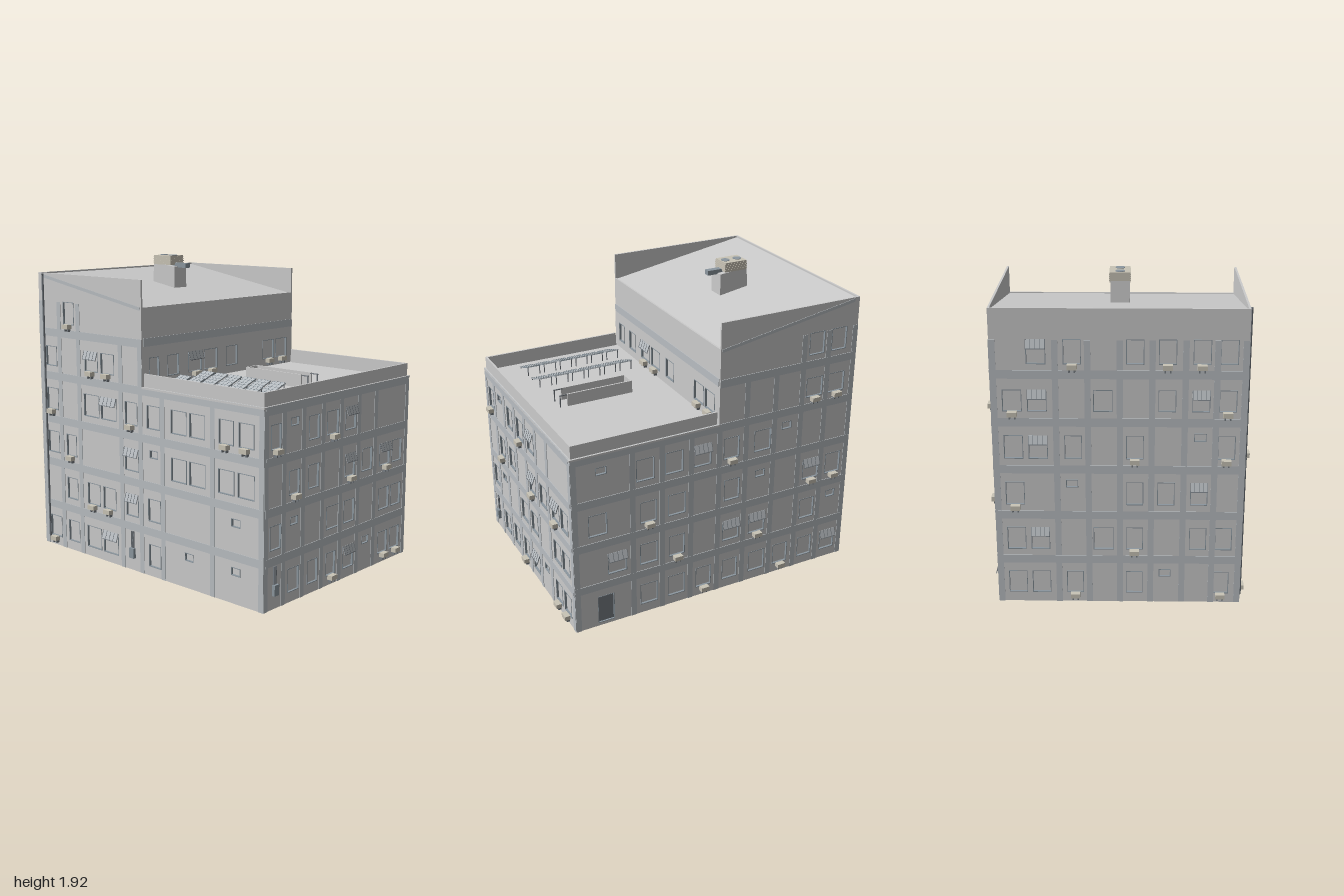
import * as THREE from 'three';

const mat = (color) => new THREE.MeshStandardMaterial({ color, flatShading: true });
const GREY = mat(0xcccccc), BAND = mat(0xb9bec2), FRAME = mat(0x8c979f), BEIGE = mat(0xc9c4b6), DARK = mat(0x777d83);
const T = 0.012; // cladding thickness

function add(parent, name, geo, material, x = 0, y = 0, z = 0) {
  const m = new THREE.Mesh(geo, material);
  m.name = name;
  m.position.set(x, y, z);
  parent.add(m);
  return m;
}
const box = (parent, name, w, h, d, x, y, z, material = GREY) =>
  add(parent, name, new THREE.BoxGeometry(w, h, d), material, x, y, z);

// closed polygon from [x, y] pairs
const poly = (pts, Kind = THREE.Shape) => new Kind(pts.map((p) => new THREE.Vector2(p[0], p[1])));
const rect = (x0, x1, y0, y1) => [[x0, y0], [x1, y0], [x1, y1], [x0, y1]];

// air conditioner on two brackets below a window
function airConditioner(parent, x, y) {
  const g = new THREE.Group();
  g.name = 'airConditioner';
  g.position.set(x, y, T);
  box(g, 'casing', 0.055, 0.028, 0.035, 0, -0.004, 0.018, BEIGE);
  for (const s of [-1, 1]) box(g, 'bracket', 0.008, 0.02, 0.022, s * 0.015, -0.026, 0.011, DARK);
  parent.add(g);
}

// sloping slatted awning over the upper part of a window
function awning(parent, x, top, w) {
  const g = new THREE.Group();
  g.name = 'awning';
  g.position.set(x, top, T);
  g.rotation.x = -0.33;
  box(g, 'awningSheet', w, 0.055, 0.003, 0, -0.0275, 0.002, BAND);
  for (let i = 0; i < 5; i++) box(g, 'awningRib', 0.003, 0.055, 0.004, (i / 4 - 0.5) * (w - 0.003), -0.0275, 0.003, DARK);
  box(g, 'awningRail', w, 0.004, 0.005, 0, -0.055, 0.003, DARK);
  parent.add(g);
}

// wall cladding with window openings; floors hold [centre, width, kind]
// kinds: a = air conditioner, b = awning, v = vent, d = door
function facade(name, outline, floors, pilasters, bands) {
  const g = new THREE.Group();
  g.name = name;
  const shape = poly(outline);
  floors.forEach((row, f) => row.forEach(([u, w, kind = '']) => {
    const vent = kind === 'v', door = kind === 'd';
    const y0 = vent ? f * 0.29 + 0.17 : door ? 0.02 : f === 4 ? 1.22 : f === 5 ? 1.5 : f * 0.29 + 0.06;
    const y1 = vent ? y0 + 0.05 : door ? 0.21 : y0 + (f === 4 ? 0.13 : 0.145);
    const l = u - w / 2, r = u + w / 2, t = 0.004;
    shape.holes.push(poly(rect(l, r, y0, y1), THREE.Path));
    const frame = poly(rect(l, r, y0, y1));
    frame.holes.push(poly(rect(l + t, r - t, y0 + t, y1 - t), THREE.Path));
    add(g, vent ? 'ventFrame' : door ? 'doorFrame' : 'windowFrame',
      new THREE.ExtrudeGeometry(frame, { depth: T + 0.002, bevelEnabled: false }), FRAME);
    if (door) box(g, 'door', w - 0.01, 0.18, 0.004, u, 0.115, 0.003, DARK);
    if (kind.includes('a')) airConditioner(g, u, y0 - 0.006);
    if (kind.includes('b')) awning(g, u, y1, w);
  }));
  add(g, 'wall', new THREE.ExtrudeGeometry(shape, { depth: T, bevelEnabled: false }), GREY);
  for (const [u, y0, y1, w = 0.035] of pilasters) box(g, 'pilaster', w, y1 - y0, 0.004, u, (y0 + y1) / 2, T + 0.001, BAND);
  for (const [y, u0, u1] of bands) box(g, 'floorBand', u1 - u0, 0.05, 0.006, (u0 + u1) / 2, y, T + 0.001, BAND);
  return g;
}

// wall-mounted meter box with conduits
function meterBox(parent, u) {
  box(parent, 'meterBox', 0.04, 0.065, 0.02, u, 0.115, T + 0.01, FRAME);
  for (const s of [-1, 0, 1]) box(parent, 'conduit', 0.005, 0.11, 0.006, u + s * 0.01, 0.2, T + 0.004, DARK);
}

function solarPanel(parent, x, z) {
  const g = new THREE.Group();
  g.name = 'solarPanel';
  g.position.set(x, 1.205, z);
  const top = new THREE.Group();
  top.rotation.x = 0.35;
  box(top, 'panel', 0.092, 0.006, 0.16, 0, 0, 0, BAND);
  for (let i = 0; i < 4; i++) box(top, 'panelLine', 0.002, 0.008, 0.16, -0.045 + i * 0.03, 0, 0, FRAME);
  for (let i = 0; i < 6; i++) box(top, 'panelLine', 0.092, 0.008, 0.002, 0, 0, -0.079 + i * 0.0316, FRAME);
  g.add(top);
  for (const s of [-1, 1]) {
    box(g, 'rearLeg', 0.005, 0.06, 0.005, s * 0.04, -0.005, -0.068, DARK);
    box(g, 'frontLeg', 0.005, 0.015, 0.005, s * 0.04, -0.028, 0.068, DARK);
  }
  parent.add(g);
}

export function createModel() {
  const model = new THREE.Group();
  model.name = 'apartmentBlock';

  // solid core: low wing plus tower with a sloping roof
  const core = new THREE.ExtrudeGeometry(
    poly([[-0.95, 0], [0.948, 0], [0.948, 1.17], [-0.012, 1.17], [-0.012, 1.65], [-0.95, 1.81]]),
    { depth: 1.41, bevelEnabled: false });
  add(model, 'core', core, GREY, 0, 0, -0.705);

  const levels = [0.285, 0.575, 0.865, 1.155];
  const wide = (h, u0, u1) => levels.map((y) => [y, u0, u1]).concat(h ? [h] : []);

  // front
  const front = facade('frontFacade',
    [[-0.962, 0], [0.96, 0], [0.96, 1.175], [0, 1.175], [0, 1.82], [-0.962, 1.82]],
    [[[-0.85, 0.115, 'a'], [-0.665, 0.11], [-0.465, 0.14], [-0.305, 0.14, 'b'], [0.095, 0.105], [0.385, 0.07, 'v'], [0.755, 0.07, 'v']],
      [[-0.67, 0.105], [-0.46, 0.12, 'a'], [-0.31, 0.12, 'a'], [-0.1, 0.11, 'b'], [0.095, 0.11], [0.755, 0.07, 'v']],
      [[-0.85, 0.115], [-0.67, 0.1, 'a'], [-0.1, 0.125, 'b'], [0.095, 0.07, 'v'], [0.305, 0.13], [0.455, 0.13], [0.68, 0.125], [0.83, 0.125]],
      [[-0.85, 0.115, 'a'], [-0.465, 0.145], [-0.305, 0.145, 'b'], [-0.1, 0.11, 'a'], [0.095, 0.115], [0.305, 0.13], [0.455, 0.125], [0.68, 0.115, 'a'], [0.83, 0.115, 'a']],
      [[-0.85, 0.11], [-0.46, 0.125, 'ab'], [-0.31, 0.125, 'a']],
      [[-0.67, 0.105, 'a']]],
    [[-0.94, 0, 1.64], [-0.765, 0, 1.64], [-0.58, 0, 1.64], [-0.19, 0, 1.44], [-0.018, 0, 1.44],
      [0.17, 0, 1.16], [0.575, 0, 1.16], [0.943, 0, 1.16]],
    wide([1.44, -0.962, 0], -0.962, 0.96));
  front.position.z = 0.705;
  meterBox(front, -0.1);
  const pipe = add(front, 'drainpipe', new THREE.CylinderGeometry(0.007, 0.007, 1.79, 8), DARK, -0.91, 0.92, T + 0.008);
  pipe.castShadow = false;
  model.add(front);

  // back (u runs towards -x)
  const back = facade('backFacade',
    [[-0.96, 0], [0.962, 0], [0.962, 1.82], [0, 1.82], [0, 1.175], [-0.96, 1.175]],
    [[[-0.76, 0.11, 'd'], [-0.47, 0.12], [-0.28, 0.12], [-0.09, 0.11, 'a'], [0.1, 0.11], [0.3, 0.12], [0.48, 0.11, 'a'], [0.67, 0.11], [0.85, 0.115, 'b']],
      [[-0.68, 0.125, 'b'], [-0.47, 0.12], [-0.28, 0.11, 'a'], [0.1, 0.12, 'b'], [0.29, 0.12, 'ab'], [0.67, 0.11], [0.85, 0.07, 'v']],
      [[-0.8, 0.12], [-0.47, 0.11, 'a'], [-0.28, 0.12], [0.1, 0.11], [0.3, 0.07, 'v'], [0.68, 0.12, 'ab'], [0.85, 0.115, 'a']],
      [[-0.77, 0.07, 'v'], [-0.49, 0.12], [-0.3, 0.12], [-0.11, 0.12, 'b'], [0.09, 0.11, 'a'], [0.31, 0.12], [0.48, 0.07, 'v']],
      [[0.67, 0.12, 'a'], [0.83, 0.12, 'a']],
      [[0.67, 0.11], [0.83, 0.11]]],
    [[-0.943, 0, 1.16], [-0.575, 0, 1.16], [-0.38, 0, 1.16], [-0.185, 0, 1.16], [0.005, 0, 1.16],
      [0.19, 0, 1.44], [0.39, 0, 1.44], [0.58, 0, 1.64], [0.755, 0, 1.64], [0.945, 0, 1.64]],
    wide([1.44, 0, 0.962], -0.96, 0.962));
  back.rotation.y = Math.PI;
  back.position.z = -0.705;
  model.add(back);

  // right wing wall (u runs towards -z)
  const sideLines = [-0.545, -0.37, -0.185, -0.005, 0.175, 0.355, 0.7, -0.7];
  const right = facade('rightFacade', rect(-0.705, 0.705, 0, 1.175),
    [[[-0.45, 0.105], [-0.27, 0.1], [-0.09, 0.095, 'a'], [0.09, 0.11, 'b'], [0.27, 0.07, 'v'], [0.465, 0.105, 'a'], [0.6, 0.11, 'a']],
      [[-0.615, 0.1], [-0.45, 0.07, 'v'], [-0.07, 0.14], [0.09, 0.11], [0.465, 0.115], [0.6, 0.115]],
      [[-0.45, 0.095, 'a'], [-0.27, 0.1], [0.09, 0.105, 'ab'], [0.27, 0.11], [0.465, 0.115, 'ab'], [0.6, 0.11]],
      [[-0.615, 0.09, 'a'], [-0.45, 0.07, 'v'], [-0.27, 0.1], [-0.09, 0.115, 'a'], [0.09, 0.11, 'b']]],
    sideLines.map((u) => [u, 0, 1.16]), wide(null, -0.705, 0.705));
  right.rotation.y = Math.PI / 2;
  right.position.x = 0.948;
  meterBox(right, -0.62);
  model.add(right);

  // tower wall above the wing roof
  const tower = facade('towerFacade', rect(-0.705, 0.705, 1.17, 1.655),
    [[], [], [], [],
      [[-0.615, 0.085], [-0.45, 0.1], [-0.255, 0.125, 'ab'], [-0.11, 0.125, 'a'], [-0.09 + 0.18, 0.11], [0.465, 0.12, 'a'], [0.6, 0.12, 'a']]],
    [], [[1.445, -0.705, 0.705]]);
  tower.rotation.y = Math.PI / 2;
  tower.position.x = -0.012;
  model.add(tower);

  // left wall (u runs towards +z)
  const left = facade('leftFacade', rect(-0.705, 0.705, 0, 1.82),
    [[[-0.6, 0.11], [-0.46, 0.11], [-0.26, 0.1, 'a'], [0.09, 0.1], [0.27, 0.07, 'v'], [0.6, 0.1, 'a']],
      [[-0.6, 0.11], [-0.46, 0.11, 'b'], [-0.09, 0.12], [0.09, 0.1, 'a'], [0.46, 0.1], [0.61, 0.1]],
      [[-0.6, 0.11, 'a'], [-0.27, 0.07, 'v'], [0.09, 0.1], [0.27, 0.1], [0.46, 0.1, 'b']],
      [[-0.6, 0.11], [-0.46, 0.11, 'b'], [-0.26, 0.1], [0.09, 0.1, 'a'], [0.46, 0.07, 'v'], [0.61, 0.1, 'a']],
      [[-0.6, 0.11, 'a'], [-0.46, 0.11, 'b'], [-0.09, 0.11], [0.27, 0.1], [0.46, 0.1, 'b'], [0.61, 0.1, 'a']],
      [[-0.46, 0.11, 'b'], [-0.26, 0.1, 'a'], [0.09, 0.1], [0.27, 0.1, 'a'], [0.46, 0.1, 'a'], [0.61, 0.1]]],
    sideLines.map((u) => [-u, 0, 1.64]), wide([1.44, -0.705, 0.705], -0.705, 0.705));
  left.rotation.y = -Math.PI / 2;
  left.position.x = -0.95;
  model.add(left);

  // sloping trim on the tower's front and back, following the roof line
  for (const s of [-1, 1]) {
    const trim = box(model, 'roofTrim', 0.93, 0.02, 0.004, -0.468, 1.725, s * 0.718, BAND);
    trim.rotation.z = -Math.atan2(0.16, 0.938);
  }

  // wing cornice and parapet
  box(model, 'corniceRight', 0.012, 0.012, 1.444, 0.958, 1.174, 0);
  box(model, 'parapetRight', 0.012, 0.09, 1.42, 0.945, 1.215, 0);
  for (const s of [-1, 1]) {
    box(model, 'cornice', 0.96, 0.012, 0.012, 0.48, 1.174, s * 0.717);
    box(model, 'parapet', 0.94, 0.09, 0.012, 0.481, 1.215, s * 0.704);
  }

  // solar panels in two rows of six
  for (const z of [0.347, 0.555]) for (let i = 0; i < 6; i++) solarPanel(model, 0.138 + i * 0.1125, z);

  // roof stair enclosure, open at one end, with handrails
  const stair = new THREE.Group();
  stair.name = 'stairEnclosure';
  for (const s of [-1, 1]) {
    box(stair, 'stairWall', 0.44, 0.08, 0.01, 0.47, 1.21, s * 0.05);
    box(stair, 'handrail', 0.06, 0.006, 0.006, 0.71, 1.245, s * 0.047, DARK);
    box(stair, 'handrailPost', 0.006, 0.075, 0.006, 0.735, 1.2075, s * 0.047, DARK);
  }
  box(stair, 'stairEndWall', 0.01, 0.08, 0.1, 0.255, 1.21, 0);
  model.add(stair);

  // rooftop ventilation unit on a sloped plinth
  const unit = new THREE.Group();
  unit.name = 'ventilationUnit';
  const plinth = poly([[-0.575, 1.72], [-0.375, 1.7], [-0.375, 1.85], [-0.565, 1.87]]);
  add(unit, 'plinth', new THREE.ExtrudeGeometry(plinth, { depth: 0.112, bevelEnabled: false }), GREY, 0, 0, -0.056);
  box(unit, 'housing', 0.155, 0.06, 0.12, -0.483, 1.89, 0, BEIGE);
  for (let i = 0; i < 4; i++) box(unit, 'louvre', 0.16, 0.005, 0.125, -0.483, 1.873 + i * 0.012, 0, BEIGE);
  for (const x of [-0.525, -0.44]) add(unit, 'fan', new THREE.CylinderGeometry(0.028, 0.028, 0.012, 16), FRAME, x, 1.917, 0);
  box(unit, 'duct', 0.12, 0.03, 0.04, -0.365, 1.858, 0, FRAME);
  model.add(unit);

  return model;
}
